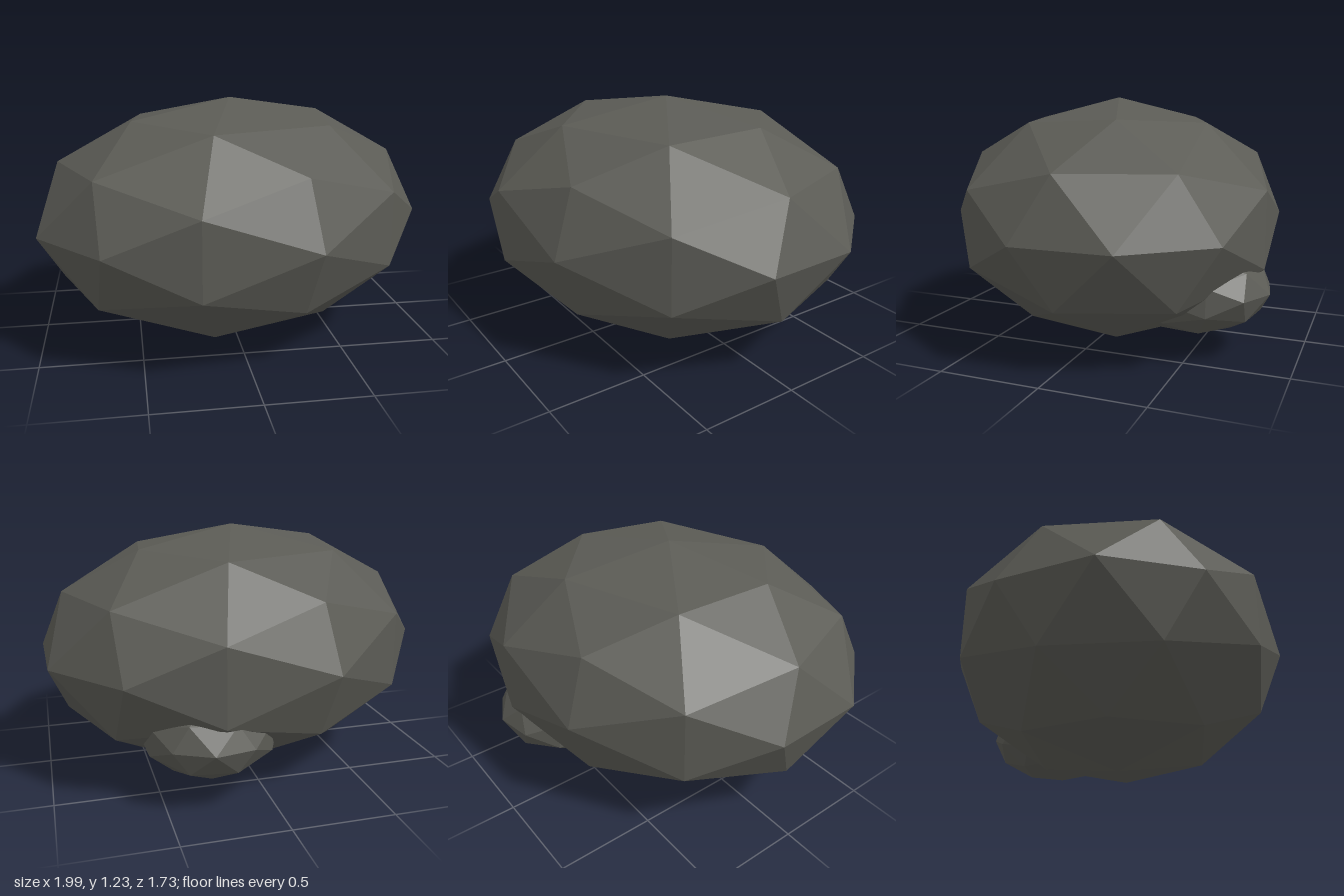
import * as THREE from 'three';

export function createModel() {
  const group = new THREE.Group();
  group.name = 'rock';
  const stone = new THREE.MeshStandardMaterial({ color: 0x5b5b55, flatShading: true });
  stone.name = 'dark stone';

  // A faceted boulder: a once-divided icosahedron, squashed and turned about y
  function boulder(name, radii, turn, position) {
    const geometry = new THREE.IcosahedronGeometry(1, 1);
    geometry.scale(...radii);
    geometry.rotateY(turn);
    geometry.computeVertexNormals();
    const mesh = new THREE.Mesh(geometry, stone);
    mesh.name = name;
    mesh.position.set(...position);
    group.add(mesh);
  }

  // Large body of the rock
  boulder('mainBoulder', [1.05, 0.613, 0.873], 0.354, [0, 0.613, 0.02]);
  // Small stone embedded low at the back
  boulder('smallStone', [0.414, 0.23, 0.353], 1.43, [0.25, 0.32, -0.455]);

  return group;
}
